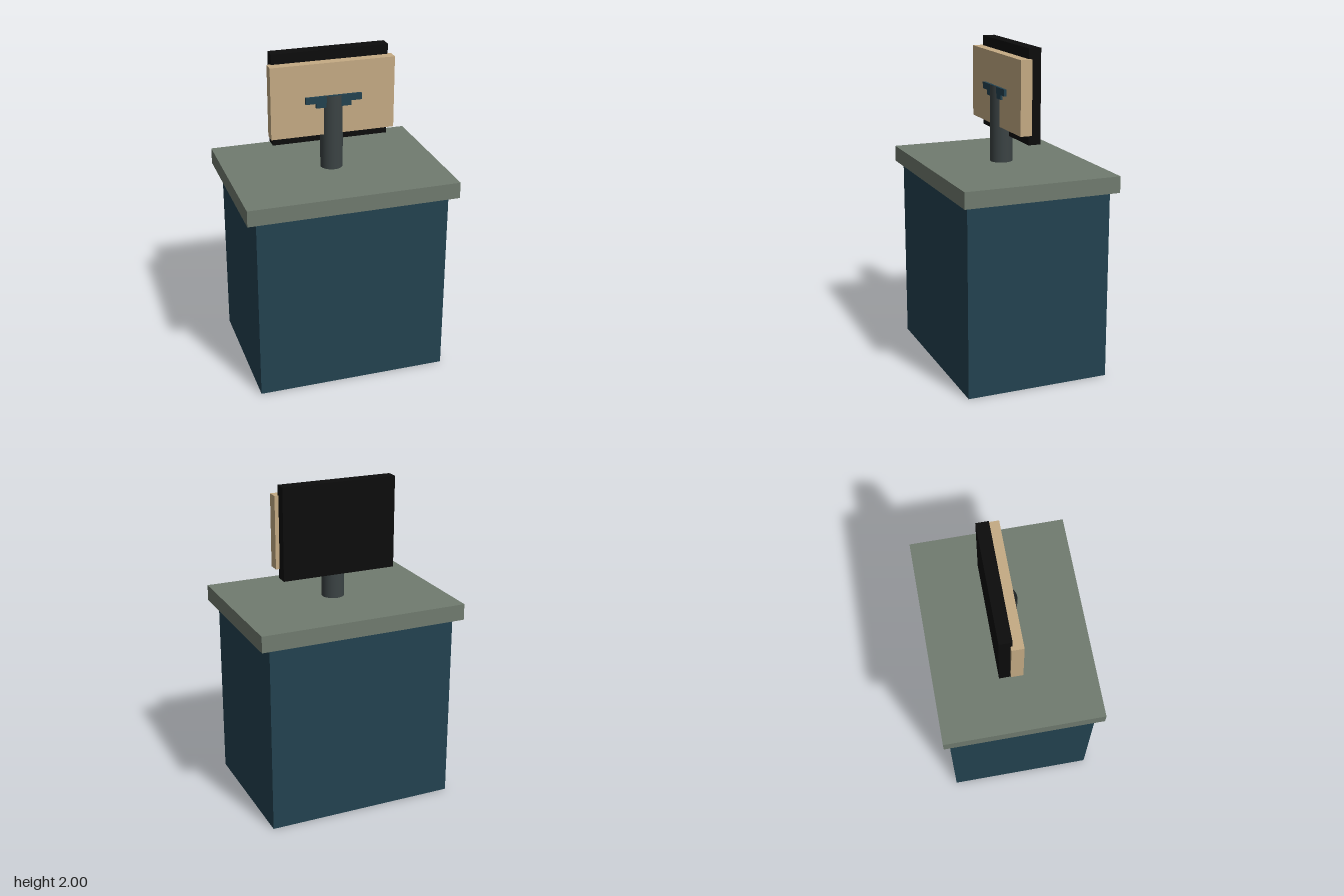
import * as THREE from 'three';

const material = (name, color, side = THREE.FrontSide) =>
  Object.assign(new THREE.MeshStandardMaterial({ color, side }), { name });

export function createModel() {
  const model = new THREE.Group();
  model.name = 'deskWithMonitor';

  const blue = material('deepBlue', 0x234250);
  const green = material('greyGreen', 0x707b6f);
  const tan = material('tanWood', 0xc5ab84);
  const black = material('screenBlack', 0x0c0c0c);
  const grey = material('postGrey', 0x3b4344, THREE.DoubleSide);

  // Box spanning x = -halfWidth..halfWidth, y0..y1 and z0..z1
  const box = (name, mat, halfWidth, y0, y1, z0, z1) => {
    const mesh = new THREE.Mesh(new THREE.BoxGeometry(halfWidth * 2, y1 - y0, z1 - z0), mat);
    mesh.position.set(0, (y0 + y1) / 2, (z0 + z1) / 2);
    mesh.name = name;
    model.add(mesh);
  };

  // Pedestal and its overhanging top
  box('cabinet', blue, 0.592, 0, 1.17, -0.448, 0.448);
  box('counterTop', green, 0.65, 1.17, 1.27, -0.484, 0.484);

  // Open-ended post carrying the screen
  const post = new THREE.Mesh(new THREE.CylinderGeometry(0.069, 0.069, 0.47, 32, 1, true), grey);
  post.position.y = 1.505;
  post.name = 'post';
  model.add(post);

  // Wooden backing board, screen behind it and stepped bracket in front
  box('backingBoard', tan, 0.385, 1.493, 1.938, -0.036, 0.036);
  box('screen', black, 0.361, 1.433, 2, -0.101, -0.025);
  box('upperBracket', blue, 0.174, 1.697, 1.738, 0, 0.052);
  box('lowerBracket', blue, 0.11, 1.667, 1.697, 0, 0.05);

  return model;
}
